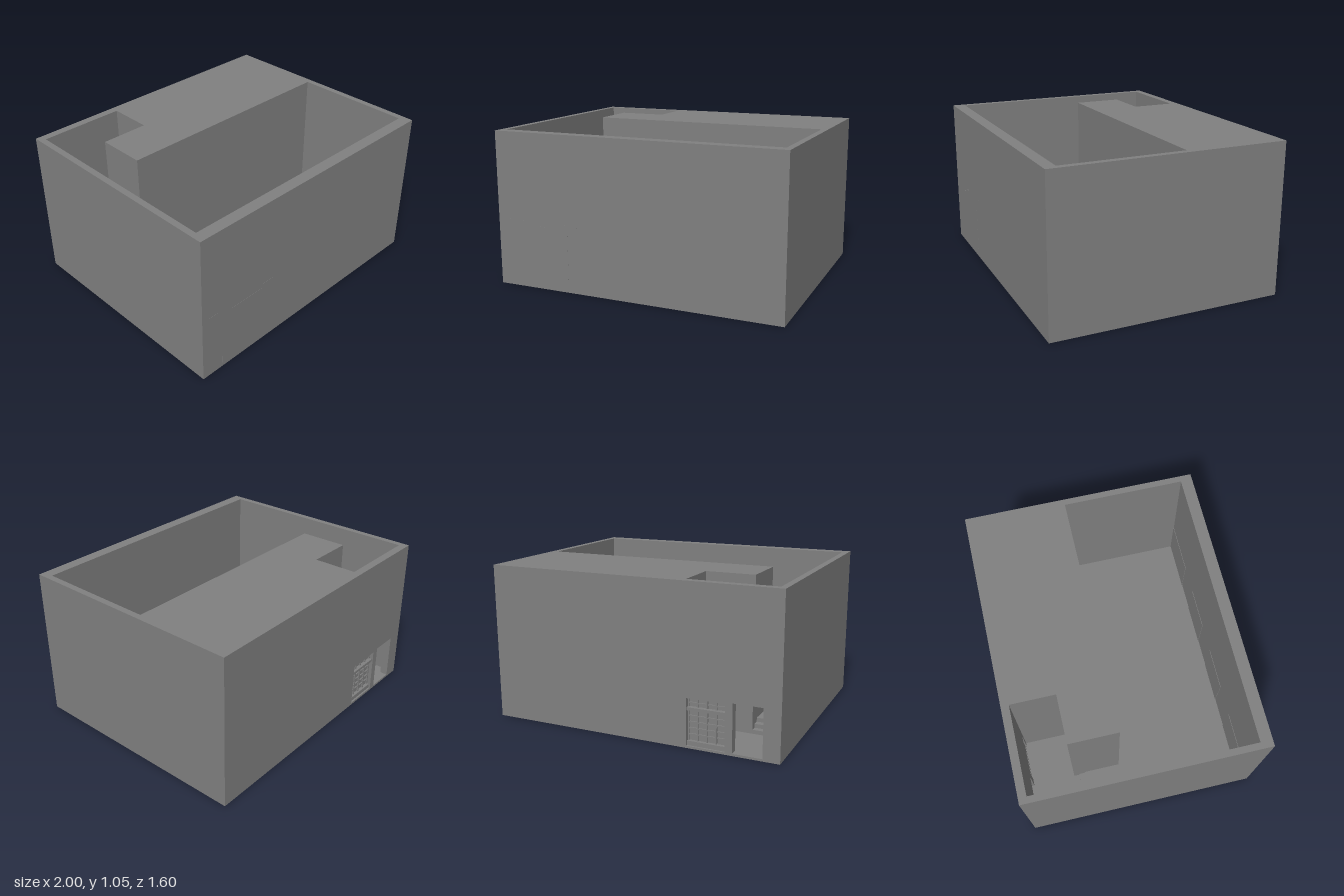
import * as THREE from 'three';

const material = new THREE.MeshStandardMaterial({ color: 0x808080, flatShading: true });
const H = 1.05, FLOOR = 0.015;

function addMesh(parent, name, geometry) {
  const mesh = new THREE.Mesh(geometry, material);
  mesh.name = name;
  parent.add(mesh);
  return mesh;
}

// Box given by its minimum and maximum corners
function addBox(parent, name, [x0, y0, z0], [x1, y1, z1]) {
  const g = new THREE.BoxGeometry(x1 - x0, y1 - y0, z1 - z0);
  g.translate((x0 + x1) / 2, (y0 + y1) / 2, (z0 + z1) / 2);
  return addMesh(parent, name, g);
}

function extrude(points, depth) {
  const shape = new THREE.Shape(points.map(([x, y]) => new THREE.Vector2(x, y)));
  return new THREE.ExtrudeGeometry(shape, { depth, bevelEnabled: false });
}

export function createModel() {
  const model = new THREE.Group();
  model.name = 'building';

  // Base slab, which is also the floor of the back room
  addBox(model, 'baseSlab', [-1, 0, -0.802], [1, FLOOR, 0.8]);

  // Walls and solid block: plan outline in (x, z), open where the back wall goes
  const plan = [
    [-0.37, -0.802], [1, -0.802], [1, 0.8], [-1, 0.8], [-1, -0.802], [-0.957, -0.802],
    [-0.957, 0.72], [0.957, 0.72], [0.957, -0.11], [-0.7, -0.11], [-0.7, -0.445], [-0.37, -0.445],
  ];
  const walls = extrude(plan.map(([x, z]) => [x, -z]), H - FLOOR);
  walls.rotateX(-Math.PI / 2).translate(0, FLOOR, 0);
  addMesh(model, 'walls', walls);

  // Back wall with notches for the doorway and the shop window
  const backWall = extrude([
    [-0.957, FLOOR], [-0.89, FLOOR], [-0.89, 0.335], [-0.697, 0.335], [-0.697, FLOOR],
    [-0.648, FLOOR], [-0.648, 0.325], [-0.395, 0.325], [-0.395, FLOOR],
    [-0.37, FLOOR], [-0.37, H], [-0.957, H],
  ], 0.054);
  backWall.translate(0, 0, -0.802);
  addMesh(model, 'backWall', backWall);

  // Raised main floor with two steps down to the back room
  const rise = 0.027;
  addBox(model, 'mainFloor', [-0.957, FLOOR, -0.11], [0.957, FLOOR + 3 * rise, 0.72]);
  [[-0.445, -0.405], [-0.405, -0.362], [-0.362, -0.11]].forEach(([z0, z1], i) =>
    addBox(model, i < 2 ? 'step' : 'passageFloor',
      [-0.957, FLOOR, z0], [-0.7, FLOOR + (i + 1) * rise, z1]));

  // Barred window in the back wall, closed by a pane
  const win = new THREE.Group();
  win.name = 'backWindow';
  model.add(win);
  const [x0, x1, top, transom] = [-0.648, -0.395, 0.325, 0.255];
  addBox(win, 'sill', [x0, FLOOR, -0.79], [x1, 0.045, -0.755]);
  addBox(win, 'transom', [x0, transom - 0.01, -0.795], [x1, transom + 0.01, -0.755]);
  addBox(win, 'pane', [x0, 0.045, -0.766], [x1, top, -0.758]);
  for (let i = 0; i <= 4; i++) {
    const x = x0 + 0.005 + (i / 4) * (x1 - x0 - 0.01);
    addBox(win, 'uprightBar', [x - 0.005, 0.045, -0.777], [x + 0.005, top, -0.765]);
  }
  for (const y of [0.085, 0.125, 0.165, 0.205, 0.29]) {
    addBox(win, 'crossBar', [x0, y - 0.004, -0.775], [x1, y + 0.004, -0.765]);
  }

  // Shallow piers along the inside of the front wall
  for (const [a, b] of [[-0.957, -0.59], [-0.38, -0.09], [0.11, 0.4], [0.6, 0.957]]) {
    addBox(model, 'innerPier', [a, FLOOR + 3 * rise, 0.717], [b, 0.4, 0.722]);
  }

  // Very thin panel and band, almost flush with the front face
  addBox(model, 'frontPanel', [-0.84, 0.03, 0.798], [-0.47, 0.43, 0.8004]);
  addBox(model, 'frontBand', [-0.95, 0.43, 0.798], [-0.4, 0.46, 0.8002]);

  return model;
}
